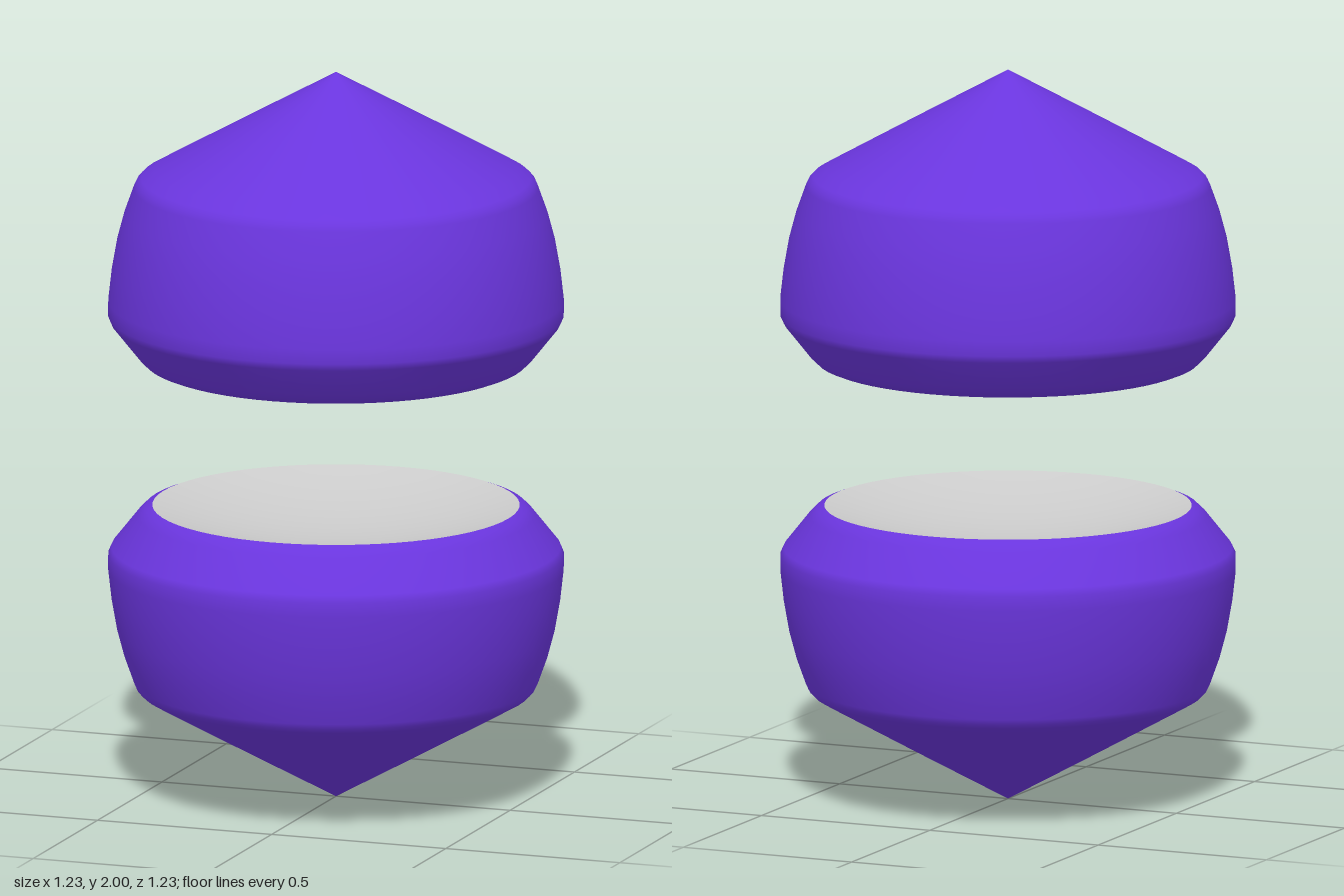
import * as THREE from 'three';

const SEGMENTS = 64;
const lathe = pts => new THREE.LatheGeometry(pts.map(([r, y]) => new THREE.Vector2(r, y)), SEGMENTS);

// Outer shell of the upper half: bevelled rim, bulging wall, conical cap
const SHELL = [
  [0.495, 1.195], [0.515, 1.203], [0.535, 1.222], [0.605, 1.31], [0.614, 1.33], [0.614, 1.37],
  [0.605, 1.45], [0.59, 1.535], [0.57, 1.61], [0.545, 1.68], [0.538, 1.695], [0.525, 1.708],
  [0.49, 1.728], [0.25, 1.862], [0, 2],
];

// Shallow dished face closing the open end
const RIM = 0.495, DEPTH = 0.07, STEPS = 10;
const DISH = Array.from({ length: STEPS + 1 }, (_, i) => {
  const t = i / STEPS;
  return [RIM * t, 1.195 + DEPTH * (1 - t * t)];
});

function makeHalf(name) {
  const shell = new THREE.Mesh(
    lathe(SHELL),
    new THREE.MeshStandardMaterial({ color: 0x6a35dd, side: THREE.DoubleSide })
  );
  shell.name = name + 'Shell';
  const dish = new THREE.Mesh(
    lathe(DISH),
    new THREE.MeshStandardMaterial({ color: 0xcccccc, side: THREE.DoubleSide })
  );
  dish.name = name + 'InnerFace';
  const half = new THREE.Group();
  half.name = name;
  half.add(shell, dish);
  return half;
}

export function createModel() {
  const model = new THREE.Group();
  model.name = 'splitCapsule';

  const upper = makeHalf('upperHalf');

  // Lower half is the upper one turned over about y = 1
  const lower = makeHalf('lowerHalf');
  lower.rotation.x = Math.PI;
  lower.position.y = 2;

  model.add(upper, lower);
  return model;
}
